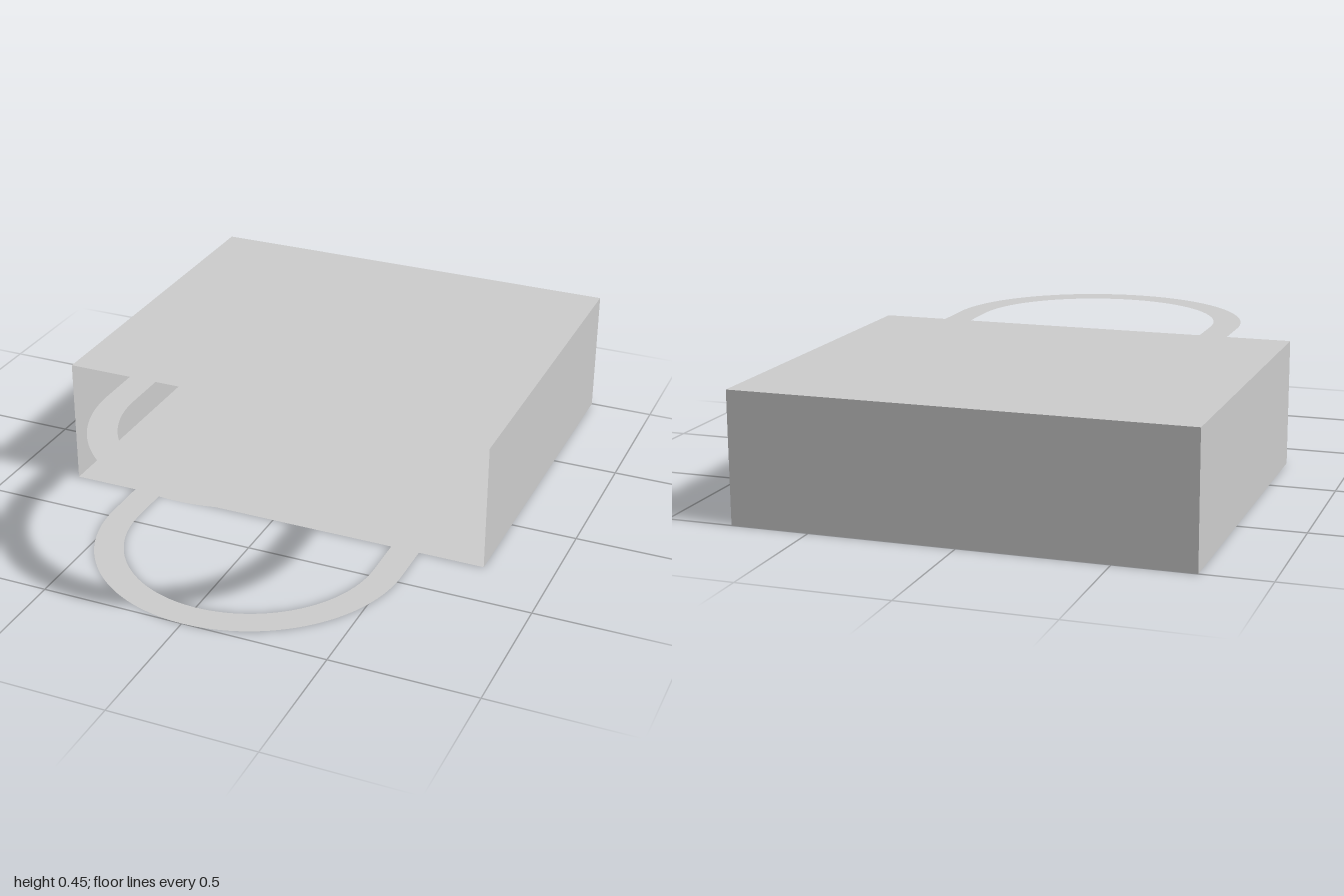
import * as THREE from 'three';

const W = 0.77, H = 0.448, BACK = -1, MOUTH = 0.3; // body half width, thickness, depth range
const OUTER = 0.54, INNER = 0.44, BEND = 0.46;     // handle radii and start of its bend

// Flat panel and its looped handle, cut from one sheet
function panelGeometry() {
  const s = new THREE.Shape();
  s.moveTo(-W, BACK);
  s.lineTo(W, BACK);
  s.lineTo(W, MOUTH);
  s.lineTo(OUTER, MOUTH);
  s.lineTo(OUTER, BEND);
  s.absarc(0, BEND, OUTER, 0, Math.PI, false);
  s.lineTo(-OUTER, MOUTH);
  s.lineTo(-W, MOUTH);
  s.closePath();

  // Hand opening
  const hole = new THREE.Path();
  hole.moveTo(-INNER, MOUTH);
  hole.lineTo(INNER, MOUTH);
  hole.lineTo(INNER, BEND);
  hole.absarc(0, BEND, INNER, 0, Math.PI, false);
  hole.closePath();
  s.holes.push(hole);

  return new THREE.ShapeGeometry(s, 48).rotateX(Math.PI / 2);
}

export function createModel() {
  const bag = new THREE.Group();
  bag.name = 'bag';
  const fabric = new THREE.MeshStandardMaterial({ color: 0xcccccc, side: THREE.DoubleSide });
  fabric.name = 'light grey fabric';

  const add = (name, geometry, x, y, z) => {
    const mesh = new THREE.Mesh(geometry, fabric);
    mesh.name = name;
    mesh.position.set(x, y, z);
    bag.add(mesh);
  };

  // Two large panels with handles
  const panel = panelGeometry();
  add('lowerPanelWithHandle', panel, 0, 0, 0);
  add('upperPanelWithHandle', panel, 0, H, 0);

  // Side gussets
  const depth = MOUTH - BACK;
  for (const side of [-1, 1]) {
    const gusset = new THREE.PlaneGeometry(depth, H).rotateY(side * Math.PI / 2);
    add(side > 0 ? 'leftGusset' : 'rightGusset', gusset, side * W, H / 2, (MOUTH + BACK) / 2);
  }

  // Closed base of the bag; the mouth stays open
  add('base', new THREE.PlaneGeometry(2 * W, H).rotateY(Math.PI), 0, H / 2, BACK);

  return bag;
}
